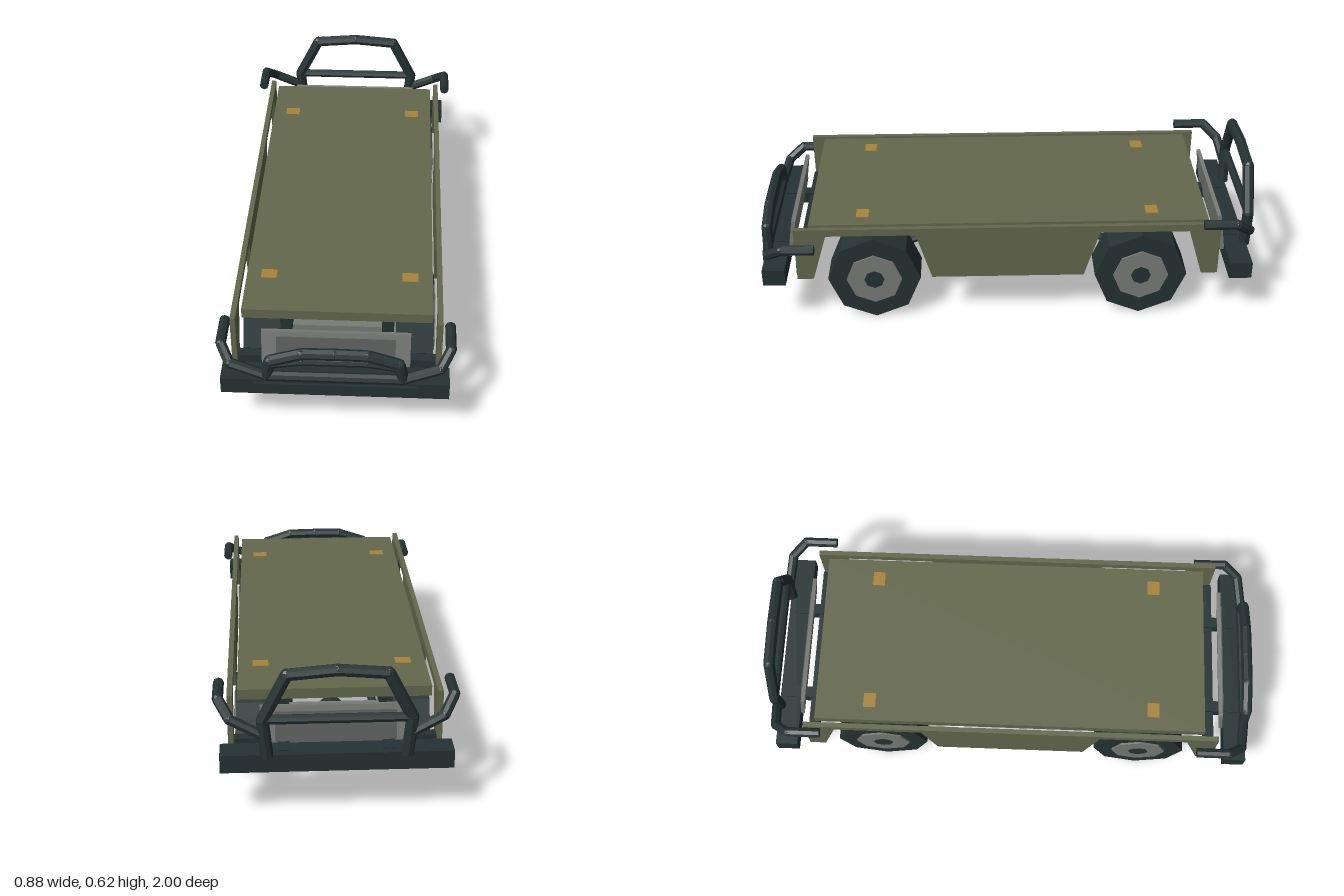
import * as THREE from 'three';

const mat = (name, color, extra = {}) => {
  const m = new THREE.MeshStandardMaterial({ color, flatShading: true, ...extra });
  m.name = name;
  return m;
};

export function createModel() {
  const olive = mat('olive paint', 0x63684c);
  const dark = mat('dark steel', 0x253233);
  const grey = mat('grey metal', 0x787b76);
  const shade = mat('grille grey', 0x5c605d);
  const amber = mat('amber marker', 0xa8843a);
  const model = new THREE.Group();
  model.name = 'vehicleChassis';

  const add = (name, geo, material, x = 0, y = 0, z = 0) => {
    const m = new THREE.Mesh(geo, material);
    m.name = name;
    m.position.set(x, y, z);
    model.add(m);
    return m;
  };
  const box = (name, material, w, h, d, x, y, z) =>
    add(name, new THREE.BoxGeometry(w, h, d), material, x, y, z);
  const axial = (name, material, r, len, x, y, z, sides = 8) =>
    add(name, new THREE.CylinderGeometry(r, r, len, sides).rotateZ(Math.PI / 2), material, x, y, z);

  // Round bar through a list of points, with a ball at each inner joint
  const bar = (name, material, r, points) => {
    const g = new THREE.Group();
    g.name = name;
    const p = points.map(a => new THREE.Vector3(...a));
    for (let i = 1; i < p.length; i++) {
      const dir = p[i].clone().sub(p[i - 1]);
      const m = new THREE.Mesh(new THREE.CylinderGeometry(r, r, dir.length(), 8), material);
      m.position.copy(p[i]).add(p[i - 1]).multiplyScalar(0.5);
      m.quaternion.setFromUnitVectors(new THREE.Vector3(0, 1, 0), dir.normalize());
      g.add(m);
      if (i < p.length - 1) {
        const joint = new THREE.Mesh(new THREE.SphereGeometry(r, 8, 6), material);
        joint.position.copy(p[i]);
        g.add(joint);
      }
    }
    model.add(g);
  };
  // Half path from the outside to the middle, completed by mirroring
  const arch = half => [...half, ...half.slice(0, -1).reverse().map(([x, y, z]) => [-x, y, z])];

  // Flat deck with four markers
  box('deck', olive, 0.71, 0.04, 1.59, 0, 0.42, -0.005);
  for (const x of [-0.27, 0.27]) for (const z of [-0.58, 0.58])
    box('deckMarker', amber, 0.06, 0.002, 0.05, x, 0.4405, z);

  // Side panels with sloped wheel openings
  const half = [[0.845, 0.44], [0.845, 0.21], [0.78, 0.21], [0.72, 0.41], [0.365, 0.41], [0.305, 0.21]];
  const outline = [...half, ...half.slice().reverse().map(([z, y]) => [-z, y])];
  const panelShape = new THREE.Shape(outline.map(([z, y]) => new THREE.Vector2(z, y)));
  const panelGeo = new THREE.ExtrudeGeometry(panelShape, { depth: 0.02, bevelEnabled: false });
  panelGeo.rotateY(-Math.PI / 2).translate(0.01, 0, 0);

  for (const s of [-1, 1]) {
    add('sidePanel', panelGeo, olive, s * 0.382, 0, 0);
    box('chassisRail', dark, 0.045, 0.06, 1.56, s * 0.19, 0.37, 0);
  }

  for (const e of [-1, 1]) {
    const z = e * 0.54;
    // Wheels, axle and suspension
    axial('axle', grey, 0.032, 0.44, 0, 0.19, z);
    add('differential', new THREE.SphereGeometry(0.075, 8, 6), dark, 0, 0.187, z);
    for (const s of [-1, 1]) {
      axial('tyre', dark, 0.187, 0.145, s * 0.2925, 0.188, z);
      axial('rim', grey, 0.112, 0.16, s * 0.2925, 0.188, z);
      axial('hubCap', dark, 0.04, 0.166, s * 0.2925, 0.188, z);
      bar('suspensionLink', dark, 0.016, [[s * 0.17, 0.2, z], [s * 0.15, 0.27, e * 0.28]]);
      bar('shockAbsorber', grey, 0.016, [[s * 0.18, 0.2, e * 0.58], [s * 0.19, 0.36, e * 0.64]]);
      box('bumperMount', dark, 0.045, 0.05, 0.17, s * 0.19, 0.25, e * 0.87);
    }
    bar('driveShaft', dark, 0.022, [[0, 0.19, z], [0, 0.28, e * 0.08]]);
    for (const c of [0.34, 0.74]) box('crossMember', grey, 0.38, 0.04, 0.04, 0, 0.325, e * c);

    // Bumpers, lower end beams and radiator plates
    box('endBeam', dark, 0.74, 0.05, 0.04, 0, 0.24, e * 0.83);
    box('bumper', dark, 0.84, 0.07, 0.09, 0, 0.235, e * 0.935);
    const plate = new THREE.Group();
    plate.name = 'endGrille';
    const frame = new THREE.Mesh(new THREE.BoxGeometry(0.55, 0.165, 0.016), grey);
    const inset = new THREE.Mesh(new THREE.BoxGeometry(0.44, 0.12, 0.006), shade);
    frame.name = 'grilleFrame';
    inset.name = 'grilleInset';
    inset.position.z = e * 0.009;
    plate.add(frame, inset);
    plate.position.set(0, 0.325, e * 0.872);
    plate.rotation.x = e * -0.15;
    model.add(plate);
  }
  bar('transferCase', dark, 0.04, [[0, 0.28, -0.1], [0, 0.28, 0.1]]);
  box('bumperInset', dark, 0.6, 0.035, 0.014, 0, 0.243, 0.985);

  // Front guard
  const f = 0.974;
  bar('frontGuardTop', dark, 0.022, arch([[0.25, 0.285, f], [0.235, 0.36, f], [0.12, 0.398, f], [0, 0.4, f]]));
  bar('frontGuardMiddle', dark, 0.018, arch([[0.235, 0.345, f], [0.12, 0.365, f], [0, 0.365, f]]));
  bar('frontGuardLower', dark, 0.02, [[-0.25, 0.287, f], [0.25, 0.287, f]]);

  // Rear hoop
  const r = -0.976;
  bar('rearHoop', dark, 0.023, arch([[0.25, 0.26, r], [0.265, 0.41, r], [0.178, 0.583, r], [0, 0.598, r]]));
  bar('rearHoopCrossbar', dark, 0.018, [[-0.265, 0.41, r], [0.265, 0.41, r]]);

  // Curved corner guards
  for (const s of [-1, 1]) {
    bar('frontCornerGuard', dark, 0.02,
      [[s * 0.25, 0.287, f], [s * 0.385, 0.325, 0.955], [s * 0.422, 0.367, 0.895], [s * 0.422, 0.367, 0.765]]);
    bar('rearCornerGuard', dark, 0.02,
      [[s * 0.26, 0.345, r], [s * 0.38, 0.405, -0.96], [s * 0.422, 0.457, -0.9], [s * 0.422, 0.457, -0.77]]);
  }
  return model;
}
